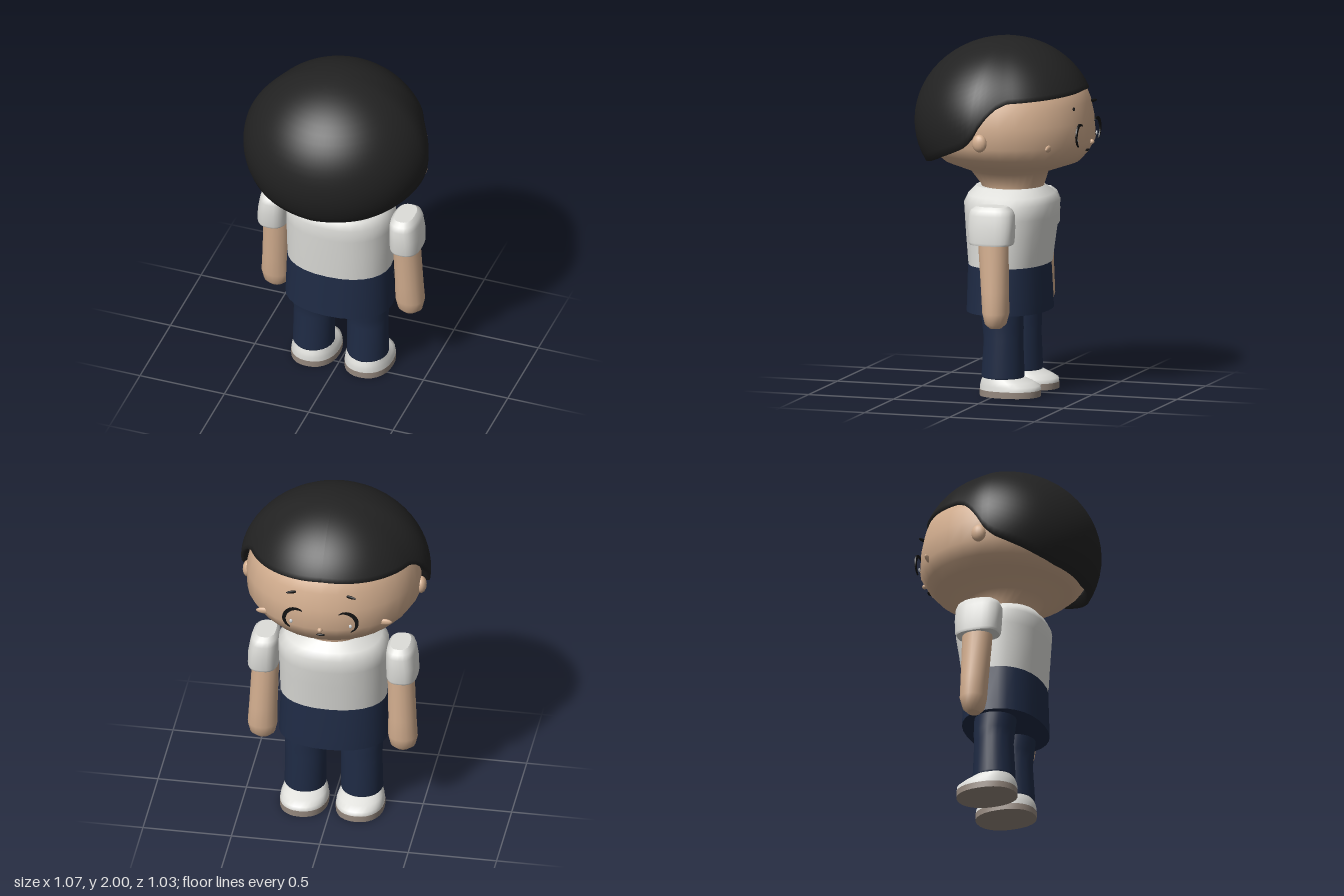
import * as THREE from 'three';

const mat = (name, color, side = THREE.FrontSide) => {
  const m = new THREE.MeshStandardMaterial({ color, side });
  m.name = name;
  return m;
};

// Stack of oval rings [y, cx, cz, rx, rz]; p < 1 makes the ovals boxier
function loft(rings, { seg = 28, p = 1, bottom = true, top = true } = {}) {
  const pos = [], idx = [];
  const pw = (v) => Math.sign(v) * Math.abs(v) ** p;
  const addRing = ([y, cx, cz, rx, rz]) => {
    const start = pos.length / 3;
    for (let j = 0; j < seg; j++) {
      const a = (j / seg) * Math.PI * 2;
      pos.push(cx + rx * pw(Math.sin(a)), y, cz + rz * pw(Math.cos(a)));
    }
    return start;
  };
  const starts = rings.map(addRing);
  for (let i = 0; i + 1 < rings.length; i++) {
    for (let j = 0; j < seg; j++) {
      const k = (j + 1) % seg, a = starts[i], b = starts[i + 1];
      idx.push(a + j, a + k, b + k, a + j, b + k, b + j);
    }
  }
  const cap = (ring, up) => {
    const s = addRing(ring), c = pos.length / 3;
    pos.push(ring[1], ring[0], ring[2]);
    for (let j = 0; j < seg; j++) {
      const k = (j + 1) % seg;
      idx.push(c, s + (up ? j : k), s + (up ? k : j));
    }
  };
  if (bottom) cap(rings[0], false);
  if (top) cap(rings[rings.length - 1], true);
  const g = new THREE.BufferGeometry();
  g.setAttribute('position', new THREE.Float32BufferAttribute(pos, 3));
  g.setIndex(idx);
  g.computeVertexNormals();
  return g;
}

// Hair cap: ellipsoid cut along a rim whose height depends on the azimuth (0 = nape, 180 = fringe)
const RIM = [[0, 1.29], [35, 1.315], [50, 1.345], [66, 1.39], [78, 1.43], [85, 1.475],
  [92, 1.58], [100, 1.655], [108, 1.69], [130, 1.70], [180, 1.72]];
function rimHeight(deg) {
  const i = Math.max(1, RIM.findIndex((r) => r[0] >= deg));
  const [a, ya] = RIM[i - 1], [b, yb] = RIM[i];
  return ya + ((yb - ya) * (deg - a)) / (b - a);
}
function hairGeometry() {
  const seg = 96, rows = 20, pos = [], idx = [];
  const point = (phi, lat, s) => {
    const deg = Math.abs(phi) * 180 / Math.PI;
    const rx = 0.538 - 0.036 * THREE.MathUtils.smoothstep(deg, 82, 112);
    const rz = 0.505 - 0.01 * Math.cos(phi) * -1;
    pos.push(s * rx * Math.sin(phi) * Math.cos(lat), 1.53 + 0.47 * Math.sin(lat),
      s * rz * Math.cos(phi) * Math.cos(lat));
  };
  for (let j = 0; j <= seg; j++) {
    const phi = (j / seg) * Math.PI * 2 - Math.PI;
    const low = Math.asin((rimHeight(Math.min(180, Math.abs(phi) * 180 / Math.PI)) - 1.53) / 0.47);
    point(phi, low + 0.12, 0.88); // thickness turned in under the rim
    point(phi, low, 0.96);
    for (let i = 0; i <= rows; i++) point(phi, low + (Math.PI / 2 - low) * (i / rows), 1);
  }
  const n = rows + 3;
  for (let j = 0; j < seg; j++) {
    for (let i = 0; i < n - 1; i++) {
      const a = j * n + i, b = a + n;
      idx.push(a, b, b + 1, a, b + 1, a + 1);
    }
  }
  const g = new THREE.BufferGeometry();
  g.setAttribute('position', new THREE.Float32BufferAttribute(pos, 3));
  g.setIndex(idx);
  g.computeVertexNormals();
  return g;
}

// Crescent eye line, thickest on the outer side
function eyeGeometry(side) {
  const outer = [], inner = [], n = 20;
  for (let i = 0; i <= n; i++) {
    const t = i / n, a = (135 - 205 * t) * Math.PI / 180, w = 0.02 * Math.sin(Math.PI * t);
    const at = (r) => new THREE.Vector2(side * r * Math.cos(a), r * Math.sin(a));
    outer.push(at(0.066));
    inner.unshift(at(0.064 - w));
  }
  return new THREE.ExtrudeGeometry(new THREE.Shape([...outer, ...inner]), { depth: 0.008, bevelEnabled: false });
}

export function createModel() {
  const root = new THREE.Group();
  root.name = 'child';
  const skin = mat('skin', 0xd4af90);
  const hair = mat('hair black', 0x222222, THREE.DoubleSide);
  const shirt = mat('shirt white', 0xdededa);
  const navy = mat('trouser navy', 0x1f2b45);
  const sole = mat('sole taupe', 0x95887e);
  const ink = mat('face ink', 0x121212);
  const glint = mat('eye glint', 0xd8dcde);

  const add = (name, geo, m, x = 0, y = 0, z = 0) => {
    const mesh = new THREE.Mesh(geo, m);
    mesh.name = name;
    mesh.position.set(x, y, z);
    root.add(mesh);
    return mesh;
  };
  const blob = (name, m, r, p) => add(name, new THREE.SphereGeometry(1, 16, 12).scale(...r), m, ...p);

  // Head with neck, and hair
  add('head', loft([
    [1.12, 0, -0.035, 0.18, 0.17], [1.17, 0, -0.035, 0.185, 0.175], [1.25, 0, -0.015, 0.215, 0.22],
    [1.31, 0, -0.03, 0.385, 0.38], [1.36, 0, -0.022, 0.44, 0.433], [1.43, 0, -0.02, 0.485, 0.475],
    [1.55, 0, -0.015, 0.49, 0.472], [1.65, 0, -0.015, 0.468, 0.452], [1.73, 0, -0.012, 0.43, 0.425],
    [1.85, 0, 0, 0.33, 0.33], [1.93, 0, 0, 0.18, 0.18],
  ], { seg: 32 }), skin);
  add('hair', hairGeometry(), hair);

  // Face, on the -z side
  blob('nose', skin, [0.014, 0.014, 0.016], [0, 1.43, -0.497]);
  blob('mouth', ink, [0.025, 0.007, 0.008], [0, 1.383, -0.472]);

  // Torso
  add('shirtBody', loft([
    [0.73, 0, -0.02, 0.3, 0.22], [0.9, 0, -0.025, 0.305, 0.24], [1.0, 0, -0.03, 0.308, 0.252],
    [1.08, 0, -0.03, 0.308, 0.258], [1.12, 0, -0.025, 0.27, 0.235], [1.165, 0, -0.02, 0.19, 0.19],
  ], { p: 0.9 }), shirt);
  add('trouserTop', loft([
    [0.465, 0, -0.018, 0.31, 0.228], [0.52, 0, -0.018, 0.308, 0.226], [0.73, 0, -0.015, 0.3, 0.217],
  ], { p: 0.9 }), navy);

  for (const s of [1, -1]) {
    const tag = s > 0 ? 'left' : 'right';
    // Facial details and ear
    add(tag + 'Eye', eyeGeometry(s), ink, s * 0.15, 1.485, -0.482);
    blob(tag + 'EyeGlint', glint, [0.009, 0.012, 0.005], [s * 0.168, 1.455, -0.47]);
    const brow = blob(tag + 'Brow', ink, [0.035, 0.009, 0.007], [s * 0.165, 1.635, -0.449]);
    brow.rotation.y = s * 0.35;
    blob(tag + 'Cheek', skin, [0.05, 0.019, 0.012], [s * 0.335, 1.433, -0.358]);
    blob(tag + 'Ear', skin, [0.03, 0.05, 0.042], [s * 0.49, 1.468, -0.003]);

    // Arm and sleeve
    add(tag + 'Arm', loft([
      [0.415, s * 0.395, -0.066, 0.04, 0.035], [0.44, s * 0.397, -0.067, 0.07, 0.06],
      [0.5, s * 0.397, -0.068, 0.084, 0.075], [0.62, s * 0.393, -0.062, 0.08, 0.078],
      [0.92, s * 0.382, -0.047, 0.076, 0.087],
    ], { seg: 16 }), skin);
    add(tag + 'Sleeve', loft([
      [0.886, s * 0.392, -0.041, 0.084, 0.12], [0.9, s * 0.392, -0.041, 0.088, 0.128],
      [0.98, s * 0.39, -0.04, 0.087, 0.133], [1.05, s * 0.384, -0.039, 0.081, 0.131],
      [1.08, s * 0.382, -0.039, 0.074, 0.118], [1.1, s * 0.38, -0.04, 0.055, 0.09],
    ], { seg: 24, p: 0.75 }), shirt);

    // Leg and shoe
    add(tag + 'Leg', loft([
      [0.1, s * 0.16, -0.03, 0.112, 0.115], [0.112, s * 0.16, -0.03, 0.118, 0.121],
      [0.32, s * 0.158, -0.032, 0.116, 0.11], [0.38, s * 0.158, -0.03, 0.119, 0.115],
      [0.5, s * 0.157, -0.02, 0.12, 0.12],
    ], { seg: 24 }), navy);
    add(tag + 'Sole', loft([
      [0, s * 0.158, -0.073, 0.136, 0.173], [0.036, s * 0.158, -0.073, 0.136, 0.173],
    ], { p: 0.9 }), sole);
    add(tag + 'Shoe', loft([
      [0.036, s * 0.158, -0.073, 0.135, 0.172], [0.06, s * 0.158, -0.072, 0.132, 0.17],
      [0.08, s * 0.158, -0.055, 0.125, 0.148], [0.103, s * 0.159, -0.032, 0.113, 0.116],
    ], { p: 0.9 }), shirt);
  }
  return root;
}
